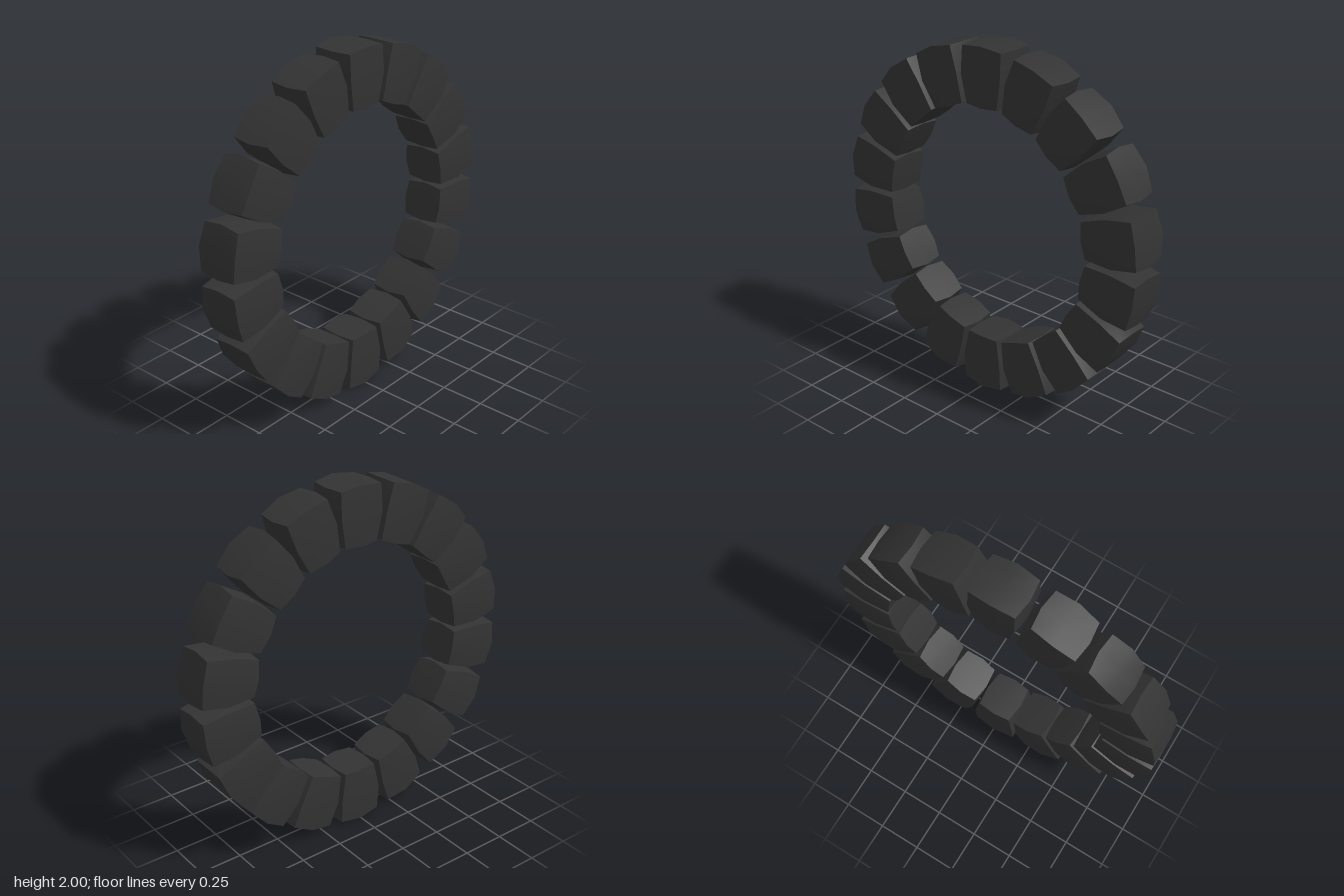
import * as THREE from 'three';

const COUNT = 18;

// One barrel-sided bead: local x = along the ring, y = outward, z = depth.
function beadGeometry() {
  const geo = new THREE.BoxGeometry(2, 2, 2, 2, 2, 2);
  const p = geo.attributes.position;
  for (let i = 0; i < p.count; i++) {
    const t = Math.round(p.getX(i)), r = Math.round(p.getY(i)), z = Math.round(p.getZ(i));
    // widest in the middle, narrower towards the hole and at the front and back
    const width = [0.115, 0.145, 0.143][r + 1] - 0.014 * Math.abs(z);
    const depth = 0.135 - 0.01 * Math.abs(r) - 0.012 * Math.abs(t);
    const radius = r > 0 ? 1.0 - 0.017 * Math.abs(t) : r < 0 ? 0.672 + 0.005 * Math.abs(t) : 0.835;
    p.setXYZ(i, t * width, radius, z * depth);
  }
  geo.computeVertexNormals(); // soft within each face, sharp between faces
  return geo;
}

export function createModel() {
  const model = new THREE.Group();
  model.name = 'beadBracelet';
  const geo = beadGeometry();
  const mat = new THREE.MeshStandardMaterial({ color: 0x333333 });
  // beads evenly spaced around an upright ring
  for (let i = 0; i < COUNT; i++) {
    const bead = new THREE.Mesh(geo, mat);
    bead.name = `bead${i + 1}`;
    bead.rotation.z = (i / COUNT) * Math.PI * 2;
    bead.position.y = 1;
    model.add(bead);
  }
  return model;
}
